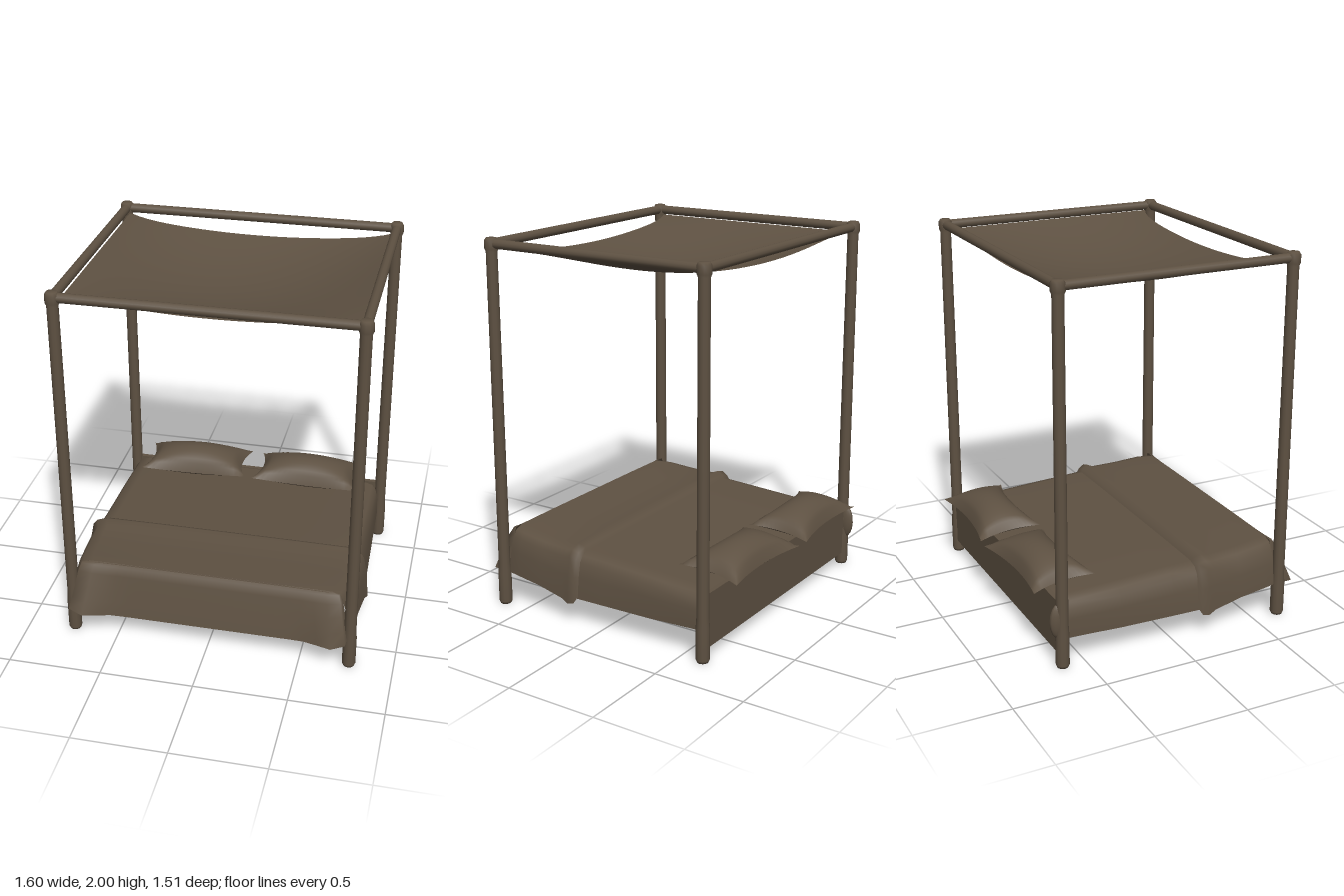
import * as THREE from 'three';

// Surface through a list of cross-sections, each a row of [x, y, z] points
function loft(rows) {
  const n = rows[0].length, index = [];
  for (let r = 0; r < rows.length - 1; r++) {
    for (let i = 0; i < n - 1; i++) {
      const a = r * n + i, b = a + n;
      index.push(a, b, a + 1, b, b + 1, a + 1);
    }
  }
  const g = new THREE.BufferGeometry();
  g.setAttribute('position', new THREE.Float32BufferAttribute(rows.flat(2), 3));
  g.setIndex(index);
  g.computeVertexNormals();
  return g;
}

// Surface from a rule f(s, t), with s and t running from -1 to 1
function sheet(f, ns, nt) {
  const rows = [];
  for (let j = 0; j <= nt; j++) {
    const row = [];
    for (let i = 0; i <= ns; i++) row.push(f(2 * i / ns - 1, 2 * j / nt - 1));
    rows.push(row);
  }
  return loft(rows);
}

// Bedding cross-section: side hem, rounded shoulder, flat top, mirrored
function beddingRow([z, hw, hemHw, top, hem]) {
  const half = [
    [hemHw, hem], [(hw + hemHw) / 2 + 0.005, (top + hem) / 2], [hw, top - 0.05],
    [hw - 0.025, top - 0.018], [hw - 0.08, top - 0.002], [hw * 0.5, top],
  ];
  return [
    ...half.map(([x, y]) => [-x, y, z]), [0, top, z],
    ...half.slice().reverse().map(([x, y]) => [x, y, z]),
  ];
}

export function createModel() {
  const group = new THREE.Group();
  const brown = new THREE.MeshStandardMaterial({ color: 0x5e5142, side: THREE.DoubleSide });
  brown.name = 'dark brown';
  const add = (name, geometry, x = 0, y = 0, z = 0) => {
    const m = new THREE.Mesh(geometry, brown);
    m.name = name;
    m.position.set(x, y, z);
    group.add(m);
    return m;
  };
  // Round bar between two points
  const bar = (name, a, b, r) => {
    const A = new THREE.Vector3(...a), B = new THREE.Vector3(...b);
    const m = add(name, new THREE.CylinderGeometry(r, r, A.distanceTo(B), 12));
    m.position.copy(A).add(B).multiplyScalar(0.5);
    m.quaternion.setFromUnitVectors(new THREE.Vector3(0, 1, 0), B.sub(A).normalize());
  };

  // Corner posts, with a thicker foot and a rounded top joint
  const left = 0.765, right = -0.747, front = 0.65, back = -0.625;
  const profile = [[0, 0], [0.03, 0], [0.036, 0.015], [0.036, 0.18], [0.032, 0.24], [0.031, 1.0],
    [0.03, 1.93], [0.037, 1.945], [0.037, 1.985], [0.028, 2.0], [0, 2.0]];
  for (const x of [left, right]) {
    for (const z of [front, back]) {
      const post = new THREE.LatheGeometry(profile.map(p => new THREE.Vector2(...p)), 12);
      add('post', post, x, 0, z);
    }
  }

  // Top rails
  const railY = 1.97;
  for (const z of [front, back]) bar('crossRail', [right, railY, z], [left, railY, z], 0.025);
  for (const x of [left, right]) bar('sideRail', [x, railY, back], [x, railY, front], 0.025);

  // Sagging cloth canopy, pulled out towards the corners
  add('canopy', sheet((s, t) => [
    0.015 + 0.74 * s,
    1.945 - (1 - s * s) * (0.055 + 0.085 * (1 - t * t)),
    t * (0.56 + 0.05 * Math.pow(s, 8)),
  ], 28, 20));

  // Back board between the rear posts
  add('backBoard', new THREE.BoxGeometry(1.5, 0.29, 0.025), 0.01, 0.215, -0.63);

  // Sheet over the mattress: z, half width, hem half width, top, hem
  add('bedSheet', loft([
    [-0.64, 0.74, 0.755, 0.355, 0.16],
    [-0.3, 0.745, 0.765, 0.37, 0.15],
    [0, 0.745, 0.775, 0.385, 0.15],
    [0.2, 0.75, 0.78, 0.393, 0.15],
  ].map(beddingRow)));

  // Duvet with a rolled edge across the bed
  add('duvet', loft([
    [0.14, 0.748, 0.78, 0.38, 0.16],
    [0.16, 0.762, 0.795, 0.408, 0.125],
    [0.195, 0.77, 0.802, 0.425, 0.12],
    [0.24, 0.755, 0.79, 0.408, 0.135],
    [0.4, 0.748, 0.78, 0.412, 0.165],
    [0.55, 0.735, 0.77, 0.425, 0.18],
    [0.62, 0.715, 0.755, 0.427, 0.18],
  ].map(beddingRow)));

  // Duvet hanging over the foot, flared at the corners: half width, y, z, corner flare
  const footRows = [
    [0.66, 0.427, 0.61, 0], [0.695, 0.415, 0.632, 0], [0.71, 0.37, 0.645, 0.01],
    [0.72, 0.3, 0.66, 0.025], [0.735, 0.22, 0.68, 0.04], [0.75, 0.145, 0.695, 0.055],
  ].map(([hw, y, z, flare], k) => {
    const row = [[-hw - 0.005, y + 0.007 * k, 0.615]];
    for (let i = 0; i <= 20; i++) {
      const s = i / 10 - 1, a = Math.abs(s);
      row.push([hw * s, y + 0.007 * k * Math.pow(a, 10), z + flare * Math.exp(-(((a - 0.92) / 0.13) ** 2))]);
    }
    row.push([hw + 0.005, y + 0.007 * k, 0.615]);
    return row;
  });
  add('duvetFoot', loft(footRows));

  // Tucked bundle of sheet at the rear corner
  add('sheetTuck', new THREE.SphereGeometry(1, 12, 8), -0.745, 0.26, -0.645).scale.set(0.025, 0.095, 0.048);

  // Pillows with pinched corners
  for (const [name, x, turn] of [['rightPillow', -0.345, 0.04], ['leftPillow', 0.33, -0.02]]) {
    const half = h => sheet((s, t) => [
      0.31 * s * (1 - 0.12 * (1 - t * t)),
      h * Math.pow((1 - s * s) * (1 - t * t), 0.55) + 0.015 * s * s * (1 + t),
      0.175 * t * (1 - 0.2 * (1 - s * s)),
    ], 20, 14);
    const top = add(name + 'Top', half(0.115), x, 0.392, -0.575);
    const bottom = add(name + 'Bottom', half(-0.035), x, 0.392, -0.575);
    top.rotation.y = bottom.rotation.y = turn;
  }

  return group;
}
